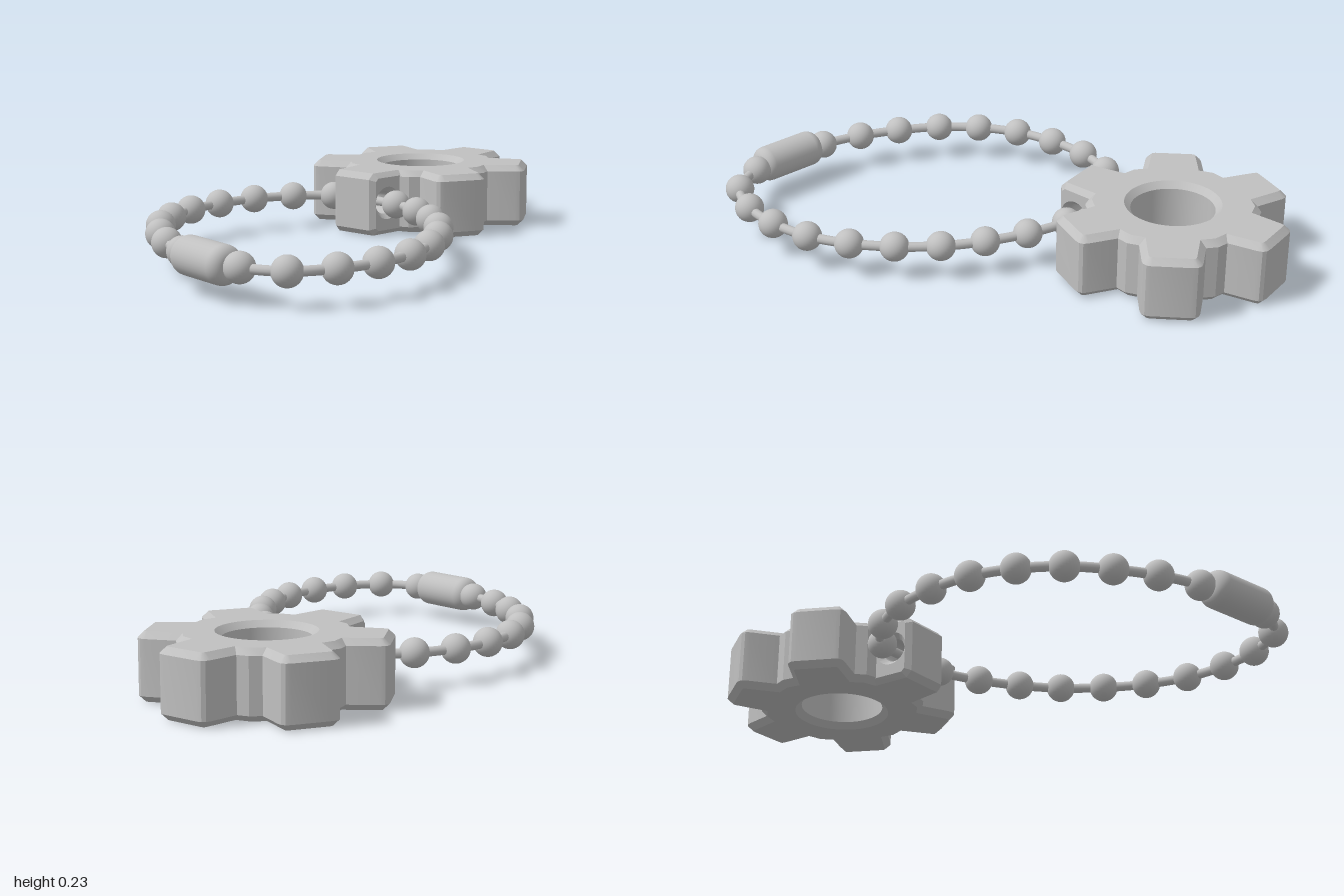
import * as THREE from 'three';
import { toCreasedNormals } from 'three/addons/utils/BufferGeometryUtils.js';

const HEIGHT = 0.235, CHAIN_Y = 0.12, GEAR_X = -0.2, GEAR_Z = -0.588;
const ROOT = 0.297, TIP = 0.412, TOOTH_HALF_ANGLE = 0.385;
const TIP_HALF = 0.098, CHAMFER = 0.022;

// Soft corner at b, between neighbours a and c
function corner(a, b, c, size) {
  const p = b.clone().add(a.clone().sub(b).setLength(size));
  const q = b.clone().add(c.clone().sub(b).setLength(size));
  return new THREE.QuadraticBezierCurve(p, b, q).getPoints(3);
}

// Six-tooth outline; the front tooth is left out, as it is a separate pierced part
function gearShape() {
  const points = [];
  const polar = (r, a) => new THREE.Vector2(r * Math.cos(a), r * Math.sin(a));
  for (let i = 0; i < 6; i++) {
    const a = -Math.PI / 2 + i * Math.PI / 3;
    const origin = new THREE.Vector2();
    const start = polar(ROOT, a - TOOTH_HALF_ANGLE);
    const end = polar(ROOT, a + TOOTH_HALF_ANGLE);
    points.push(start);
    if (i > 0) {
      const t1 = new THREE.Vector2(TIP, -TIP_HALF).rotateAround(origin, a);
      const t2 = new THREE.Vector2(TIP, TIP_HALF).rotateAround(origin, a);
      points.push(...corner(start, t1, t2, 0.03), ...corner(t1, t2, end, 0.03));
    } else {
      for (let k = 1; k < 5; k++) points.push(polar(ROOT, a + TOOTH_HALF_ANGLE * (k / 2.5 - 1)));
    }
    points.push(end, polar(ROOT + 0.008, a + Math.PI / 6));
  }
  const shape = new THREE.Shape(points);
  shape.holes.push(new THREE.Path().absarc(0, 0, 0.148, 0, Math.PI * 2, true));
  return shape;
}

export function createModel() {
  const model = new THREE.Group();
  const metal = new THREE.MeshStandardMaterial({ color: 0xc0c0c0 });
  metal.name = 'light grey metal';

  const add = (name, geometry, parent = model) => {
    const mesh = new THREE.Mesh(geometry, metal);
    mesh.name = name;
    parent.add(mesh);
    return mesh;
  };

  // Gear pendant
  const gear = new THREE.Group();
  gear.name = 'gear';
  gear.position.set(GEAR_X, 0, GEAR_Z);
  model.add(gear);

  const body = new THREE.ExtrudeGeometry(gearShape(), {
    depth: HEIGHT - 2 * CHAMFER, curveSegments: 40,
    bevelThickness: CHAMFER, bevelSize: CHAMFER, bevelOffset: -CHAMFER, bevelSegments: 1,
  });
  body.translate(0, 0, CHAMFER).rotateX(-Math.PI / 2);
  add('gearBody', toCreasedNormals(body, 0.5), gear);

  // Front tooth, with a cross hole for the chain
  const inner = 0.2;
  const profile = new THREE.Shape([
    [inner, 0], [TIP - CHAMFER, 0], [TIP, CHAMFER],
    [TIP, HEIGHT - CHAMFER], [TIP - CHAMFER, HEIGHT], [inner, HEIGHT],
  ].map(([z, y]) => new THREE.Vector2(z, y)));
  profile.holes.push(new THREE.Path().absarc(0.335, CHAIN_Y, 0.043, 0, Math.PI * 2, true));
  const bevel = 0.018;
  const tooth = new THREE.ExtrudeGeometry(profile, {
    depth: 2 * (TIP_HALF - bevel), curveSegments: 24,
    bevelThickness: bevel, bevelSize: bevel, bevelOffset: -bevel, bevelSegments: 1,
  });
  tooth.translate(0, 0, bevel - TIP_HALF).rotateY(-Math.PI / 2);
  // Widen the tooth towards its root
  const pos = tooth.attributes.position;
  for (let i = 0; i < pos.count; i++) {
    pos.setX(i, pos.getX(i) * (1 + (TIP - pos.getZ(i)) * 1.3));
  }
  add('piercedTooth', toCreasedNormals(tooth, 0.5), gear);

  // Ball chain, from one side of the pierced tooth round to the other
  const beads = [
    [-0.355, -0.25], [-0.47, -0.143], [-0.54, 0], [-0.566, 0.159], [-0.556, 0.317],
    [-0.503, 0.466], [-0.418, 0.598], [-0.302, 0.709], [-0.175, 0.8], [-0.032, 0.868],
    [0.28, 0.926], [0.43, 0.873], [0.52, 0.742], [0.56, 0.593], [0.56, 0.434],
    [0.517, 0.28], [0.444, 0.138], [0.348, 0.01], [0.232, -0.095], [0.1, -0.183], [-0.048, -0.248],
  ].map(([x, z]) => new THREE.Vector3(x, CHAIN_Y, z));
  const chain = new THREE.Group();
  chain.name = 'ballChain';
  model.add(chain);
  const ball = new THREE.SphereGeometry(0.052, 32, 20);
  beads.forEach((p) => add('bead', ball, chain).position.copy(p));
  const path = new THREE.CatmullRomCurve3(
    [...beads, new THREE.Vector3(GEAR_X, CHAIN_Y, -0.262)], true);
  add('chainWire', new THREE.TubeGeometry(path, 200, 0.017, 12, true), chain);

  // Clasp barrel with rounded ends
  const half = 0.135, radius = 0.066, round = 0.04;
  const outline = [new THREE.Vector2(0, -half)];
  for (const side of [-1, 1]) {
    for (let k = 0; k <= 8; k++) {
      const a = (side < 0 ? k - 8 : k) * Math.PI / 16;
      outline.push(new THREE.Vector2(
        radius - round + round * Math.cos(a), side * (half - round) + round * Math.sin(a)));
    }
  }
  outline.push(new THREE.Vector2(0, half));
  const clasp = add('clasp', new THREE.LatheGeometry(outline, 32), chain);
  clasp.position.set(0.122, CHAIN_Y, 0.913);
  clasp.quaternion.setFromUnitVectors(
    new THREE.Vector3(0, 1, 0), new THREE.Vector3(Math.cos(0.2), 0, Math.sin(0.2)));

  return model;
}
